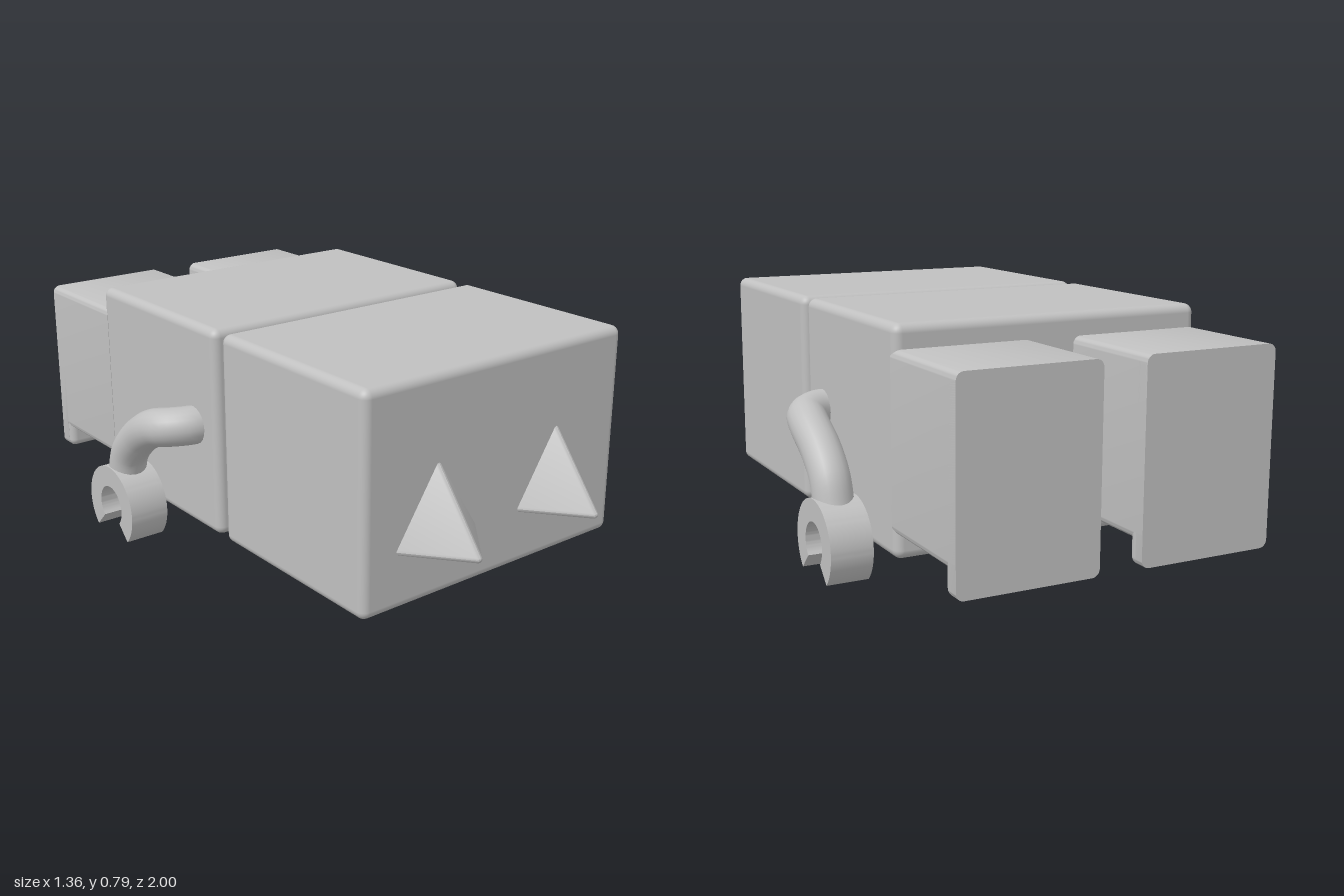
import * as THREE from 'three';
import { RoundedBoxGeometry } from 'three/addons/geometries/RoundedBoxGeometry.js';
import { ConvexGeometry } from 'three/addons/geometries/ConvexGeometry.js';
import { toCreasedNormals } from 'three/addons/utils/BufferGeometryUtils.js';

const grey = new THREE.MeshStandardMaterial({ color: 0xc0c0c0 });
grey.name = 'plain grey';

export function createModel() {
  const model = new THREE.Group();
  model.name = 'blockFigure';

  const add = (name, geometry, x = 0, y = 0, z = 0) => {
    const mesh = new THREE.Mesh(geometry, grey);
    mesh.name = name;
    mesh.position.set(x, y, z);
    model.add(mesh);
    return mesh;
  };

  // Bar along z with rounded long edges and flat ends
  const roundedBar = (w, h, depth, r) => {
    const s = new THREE.Shape();
    const x = w / 2, y = h / 2;
    s.absarc(x - r, y - r, r, 0, Math.PI / 2);
    s.absarc(-x + r, y - r, r, Math.PI / 2, Math.PI);
    s.absarc(-x + r, -y + r, r, Math.PI, Math.PI * 1.5);
    s.absarc(x - r, -y + r, r, Math.PI * 1.5, Math.PI * 2);
    const g = new THREE.ExtrudeGeometry(s, { depth, bevelEnabled: false, curveSegments: 5 });
    return toCreasedNormals(g, 0.6);
  };

  // Head, torso and the neck between them
  add('head', new RoundedBoxGeometry(1.044, 0.695, 0.695, 4, 0.028), 0, 0.447, 0.467);
  add('torso', new RoundedBoxGeometry(1.044, 0.695, 0.7, 4, 0.028), 0, 0.447, -0.265);
  add('neck', new THREE.CylinderGeometry(0.19, 0.19, 0.1, 40), 0, 0.45, 0.1).rotation.x = Math.PI / 2;

  // Round studs under the head
  add('largeStud', new THREE.CylinderGeometry(0.207, 0.207, 0.06, 48), 0.208, 0.095, 0.467);
  add('smallStud', new THREE.CylinderGeometry(0.104, 0.104, 0.06, 40), -0.247, 0.095, 0.46);

  // Three-sided spike with slightly rounded edges
  const r = 0.013;
  const corners = [[-0.15, 0.287, 0.8], [0.15, 0.287, 0.8], [0, 0.522, 0.8], [0, 0.287, 0.985]];
  const ball = new THREE.IcosahedronGeometry(r, 1).getAttribute('position');
  const points = [];
  for (const c of corners) {
    for (let i = 0; i < ball.count; i++) {
      points.push(new THREE.Vector3().fromBufferAttribute(ball, i).add(new THREE.Vector3(...c)));
    }
  }
  const spike = toCreasedNormals(new ConvexGeometry(points), 0.5);

  // C-shaped clip, open at the bottom
  const clipShape = new THREE.Shape();
  clipShape.absarc(0, 0, 0.142, -Math.PI / 4, Math.PI * 1.25, false);
  clipShape.absarc(0, 0, 0.07, Math.PI * 1.25, -Math.PI / 4, true);
  clipShape.closePath();
  const clip = toCreasedNormals(
    new THREE.ExtrudeGeometry(clipShape, { depth: 0.137, bevelEnabled: false, curveSegments: 32 })
      .translate(0, 0, -0.0685).rotateY(Math.PI / 2), 0.5);

  const leg = roundedBar(0.452, 0.545, 0.41, 0.025);
  const foot = roundedBar(0.452, 0.62, 0.045, 0.025);
  const toe = new RoundedBoxGeometry(0.452, 0.62, 0.06, 3, 0.025);

  for (const side of [1, -1]) {
    const prefix = side > 0 ? 'left' : 'right';
    add(prefix + 'EyeSpike', spike, side * 0.244);

    // Leg with a foot lip hanging below its end
    add(prefix + 'Leg', leg, side * 0.297, 0.449, -1);
    add(prefix + 'Foot', foot, side * 0.297, 0.411, -1);
    add(prefix + 'FootFront', toe, side * 0.297, 0.411, -0.963);

    // Bent arm
    const path = new THREE.CatmullRomCurve3([
      [0.46, 0.45, -0.045], [0.54, 0.45, -0.055], [0.595, 0.443, -0.1], [0.609, 0.428, -0.155],
      [0.609, 0.365, -0.255], [0.609, 0.29, -0.325], [0.609, 0.2, -0.355],
    ].map(([x, y, z]) => new THREE.Vector3(side * x, y, z)));
    add(prefix + 'Arm', new THREE.TubeGeometry(path, 32, 0.064, 20));

    // Hand clip
    add(prefix + 'Hand', clip, side * 0.609, 0.1, -0.353);
  }
  return model;
}
